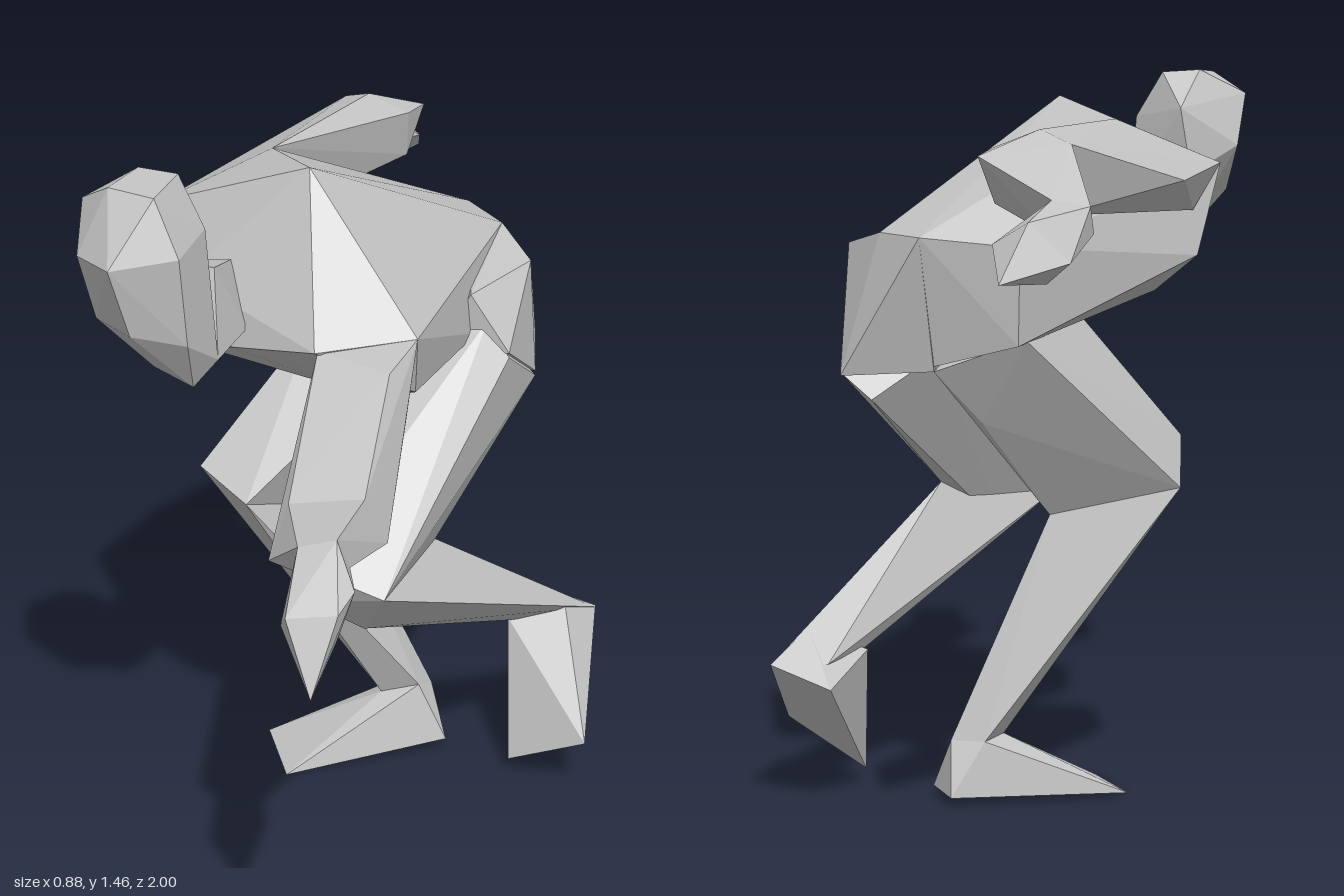
import * as THREE from 'three';
import { ConvexGeometry } from 'three/addons/geometries/ConvexGeometry.js';

export function createModel() {
  const model = new THREE.Group();
  model.name = 'crouchingFigure';
  const clay = new THREE.MeshStandardMaterial({ color: 0xc4c4c4, flatShading: true });
  clay.name = 'grey clay';

  // A faceted body piece stretched over a few corner points
  function piece(name, ...rings) {
    const points = rings.flat().map((p) => new THREE.Vector3(...p));
    const mesh = new THREE.Mesh(new ConvexGeometry(points), clay);
    mesh.name = name;
    model.add(mesh);
  }
  // A limb: each pair of neighbouring joint rings makes one segment
  function limb(names, rings) {
    names.forEach((name, i) => piece(name, rings[i], rings[i + 1]));
  }

  // Torso: hunched upper back and chest, then the pelvis end
  piece('torso', [
    [-0.09, 1.41, 0.13], [-0.25, 1.37, -0.09], [-0.44, 1.28, 0.04], [-0.41, 1.1, -0.05],
    [-0.33, 1.18, 0.19], [-0.2, 1.08, 0.28], [0, 1.12, 0.36], [0.17, 1.13, 0.25],
    [-0.29, 1.01, 0.14], [0.15, 1.0, 0.2], [-0.05, 0.93, 0.06], [0.05, 0.92, 0.04],
  ], [
    [0.15, 1.16, -0.39], [0.04, 1.16, -0.51], [-0.14, 1.14, -0.45], [0.17, 1.0, -0.15],
    [0.03, 0.91, -0.44], [-0.13, 0.95, -0.42], [-0.2, 0.98, -0.15], [0, 0.91, -0.2],
  ]);
  // Raised left hip
  piece('leftHip', [
    [0.15, 1.16, -0.39], [0.04, 1.16, -0.51], [0.25, 1.13, -0.26], [0.17, 1.1, -0.1],
    [0.25, 0.98, -0.11], [0.26, 0.88, -0.28], [0.21, 0.89, -0.46],
    [0.03, 0.9, -0.44], [0.08, 0.95, -0.1],
  ]);

  // Head and neck
  piece('head', [
    [-0.35, 1.455, 0.5], [-0.25, 1.45, 0.52], [-0.26, 1.455, 0.38], [-0.34, 1.46, 0.38],
    [-0.43, 1.41, 0.44], [-0.4, 1.33, 0.54], [-0.31, 1.33, 0.605], [-0.2, 1.34, 0.53],
    [-0.2, 1.36, 0.4], [-0.31, 1.38, 0.32], [-0.42, 1.3, 0.4],
  ], [
    [-0.38, 1.2, 0.51], [-0.29, 1.19, 0.56], [-0.2, 1.16, 0.5], [-0.2, 1.2, 0.38], [-0.33, 1.24, 0.34],
    [-0.29, 1.09, 0.45], [-0.22, 1.05, 0.43], [-0.18, 1.1, 0.4],
  ]);
  piece('neck', [
    [-0.33, 1.2, 0.17], [-0.23, 1.23, 0.2], [-0.17, 1.12, 0.27], [-0.3, 1.08, 0.18],
    [-0.33, 1.27, 0.35], [-0.2, 1.27, 0.36], [-0.18, 1.1, 0.4], [-0.28, 1.1, 0.42],
  ]);

  // Left arm reaching forward
  limb(['leftUpperArm', 'leftForearm', 'leftHand'], [
    [[0, 1.12, 0.34], [0.17, 1.13, 0.25], [0.16, 1.11, 0.39], [0.03, 0.99, 0.33], [0.17, 0.99, 0.32]],
    [[0.06, 0.95, 0.67], [0.2, 0.97, 0.65], [0.23, 0.87, 0.61], [0.05, 0.87, 0.75], [0.13, 0.82, 0.69]],
    [[0.14, 0.95, 0.84], [0.21, 0.97, 0.83], [0.22, 0.9, 0.79], [0.15, 0.88, 0.81]],
    [[0.25, 0.88, 0.94], [0.16, 0.87, 0.96], [0.22, 0.74, 1.0], [0.14, 0.84, 0.93], [0.22, 0.79, 0.86], [0.26, 0.9, 0.88]],
  ]);

  // Right arm swung back
  limb(['rightUpperArm', 'rightForearm', 'rightHand'], [
    [[-0.44, 1.28, 0.04], [-0.25, 1.37, -0.09], [-0.4, 1.19, -0.05], [-0.42, 1.26, -0.27], [-0.28, 1.2, -0.14]],
    [[-0.27, 1.34, -0.6], [-0.2, 1.365, -0.55], [-0.11, 1.33, -0.55], [-0.11, 1.32, -0.66],
      [-0.12, 1.23, -0.57], [-0.24, 1.21, -0.58]],
    [[-0.34, 1.24, -0.77], [-0.27, 1.25, -0.77], [-0.27, 1.18, -0.73], [-0.34, 1.19, -0.74]],
    [[-0.33, 1.15, -0.89], [-0.19, 1.18, -0.88], [-0.26, 1.22, -0.91], [-0.23, 1.12, -1.0], [-0.28, 1.11, -0.85]],
  ]);

  // Left leg: knee forward, shin folded back, foot hanging off the ground
  limb(['leftThigh', 'leftShin'], [
    [[0.2, 1.04, -0.12], [0.1, 1.0, -0.08], [0.25, 0.97, -0.11], [0.26, 0.87, -0.28],
      [0.2, 0.82, -0.28], [0.08, 0.91, -0.2]],
    [[-0.03, 0.65, 0.33], [0.12, 0.59, 0.3], [-0.05, 0.56, 0.29], [0.05, 0.48, 0.22], [0.14, 0.61, 0.03]],
    [[0.23, 0.31, -0.24], [0.33, 0.36, -0.3], [0.38, 0.3, -0.38], [0.27, 0.3, -0.36]],
  ]);
  piece('leftFoot', [
    [0.22, 0.31, -0.25], [0.33, 0.36, -0.3], [0.38, 0.3, -0.39], [0.25, 0.26, -0.41],
    [0.44, 0.12, -0.09], [0.26, 0.03, -0.13],
  ]);

  // Right leg: planted, foot turned outward
  limb(['rightThigh', 'rightShin'], [
    [[-0.18, 0.99, -0.12], [0.03, 0.96, -0.12], [0.05, 0.87, -0.25], [-0.04, 0.79, -0.34],
      [0.03, 0.9, -0.44], [-0.14, 0.96, -0.4]],
    [[-0.36, 0.72, 0.07], [-0.24, 0.67, 0.12], [-0.38, 0.63, -0.05], [-0.13, 0.58, -0.14]],
    [[-0.04, 0.13, -0.16], [0.04, 0.15, -0.18], [0.05, 0.13, -0.24], [-0.02, 0.13, -0.24]],
  ]);
  piece('rightFoot', [
    [-0.04, 0.13, -0.16], [0.04, 0.15, -0.18], [0.05, 0.13, -0.24], [-0.02, 0.13, -0.24],
    [-0.29, 0.01, -0.12], [-0.19, 0, 0.04], [0.1, 0.02, -0.19], [0.04, 0.02, -0.28],
  ]);

  return model;
}
